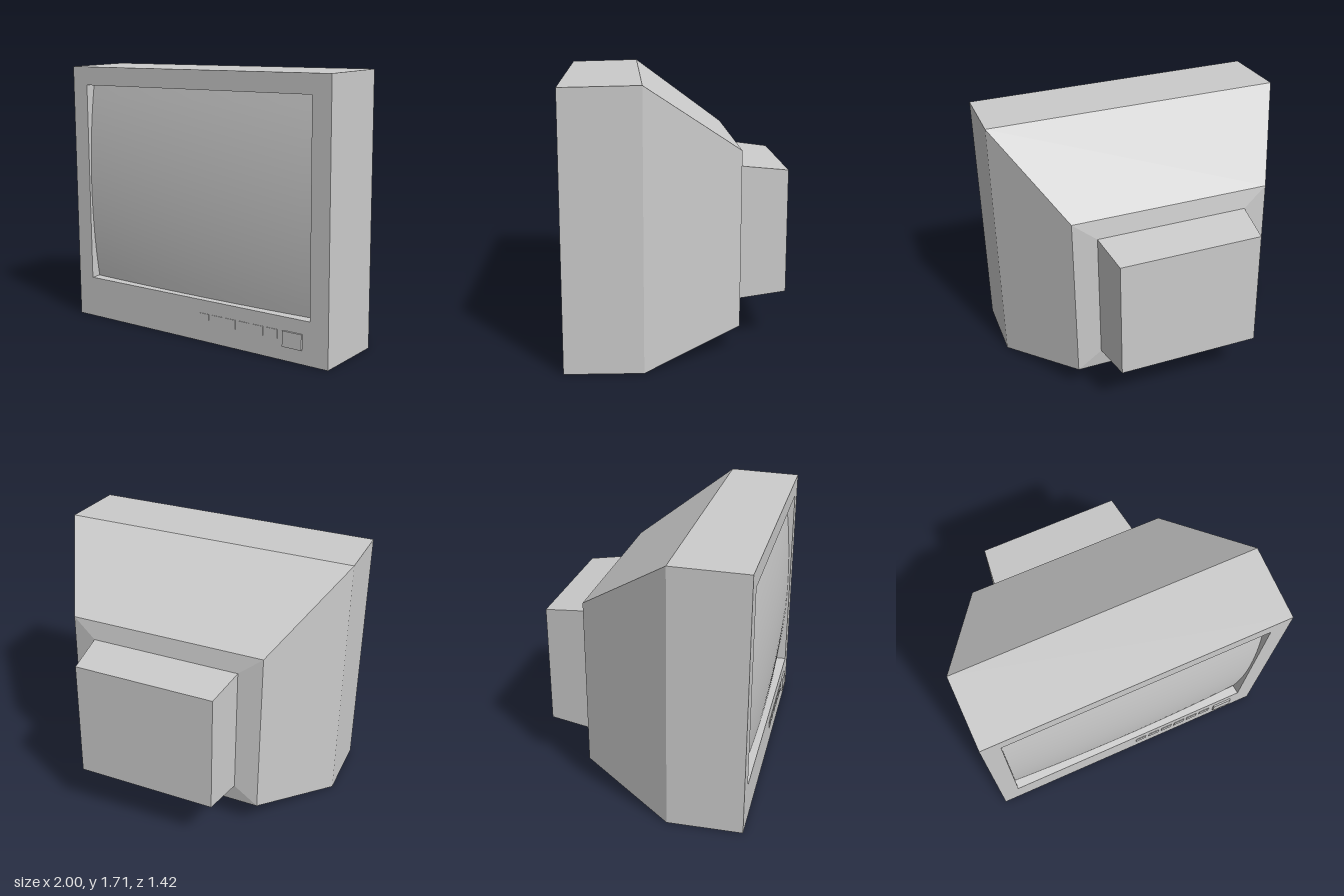
import * as THREE from 'three';

const grey = () => new THREE.MeshStandardMaterial({ color: 0xcccccc });

// Rectangular cross-section, corners anticlockwise seen from the front
const ring = (x0, x1, y0, y1, z) => [[x0, y0, z], [x1, y0, z], [x1, y1, z], [x0, y1, z]];

// Flat-faced skin through a run of cross-sections, optionally closed at the back
function loft(name, rings, closeBack = false) {
  const pos = [];
  const quad = (a, b, c, d) => [a, b, c, a, c, d].forEach((p) => pos.push(...p));
  for (let i = 0; i < rings.length - 1; i++) {
    const A = rings[i], B = rings[i + 1];
    for (let k = 0; k < 4; k++) {
      const n = (k + 1) % 4;
      quad(A[k], B[k], B[n], A[n]);
    }
  }
  if (closeBack) {
    const L = rings[rings.length - 1];
    quad(L[0], L[3], L[2], L[1]);
  }
  const g = new THREE.BufferGeometry();
  g.setAttribute('position', new THREE.Float32BufferAttribute(pos, 3));
  g.computeVertexNormals();
  const mesh = new THREE.Mesh(g, grey());
  mesh.name = name;
  return mesh;
}

export function createModel() {
  const model = new THREE.Group();
  model.name = 'monitor';

  // Shared cross-sections, front to back
  const recess = ring(-0.865, 0.855, 0.275, 1.575, 0.6);
  const opening = ring(-0.87, 0.865, 0.27, 1.58, 0.7);
  const front = ring(-0.99, 0.99, 0, 1.7, 0.7);
  const shoulder = ring(-1, 1, 0, 1.71, 0.22);
  const rear = ring(-0.66, 0.66, 0.16, 1.28, -0.39);
  const neck = ring(-0.505, 0.505, 0.29, 1.155, -0.41);
  const tail = ring(-0.47, 0.47, 0.32, 1.12, -0.71);

  model.add(loft('bezel', [recess, opening, front]));
  model.add(loft('casing', [front, shoulder, rear, neck]));
  model.add(loft('rearHousing', [neck, tail], true));

  // Gently bulging glass, sunk at its edges
  const glass = new THREE.PlaneGeometry(1.73, 1.305, 24, 20);
  const p = glass.attributes.position;
  for (let i = 0; i < p.count; i++) {
    const x = p.getX(i), y = p.getY(i);
    p.setZ(i, -0.027 * x * x - 0.115 * y * y);
  }
  glass.computeVertexNormals();
  const screen = new THREE.Mesh(glass, grey());
  screen.name = 'screen';
  screen.position.set(-0.003, 0.925, 0.706);
  model.add(screen);

  // Row of control buttons and the larger power button
  const addButton = (name, x, y, w, h, out) => {
    const b = new THREE.Mesh(new THREE.BoxGeometry(w, h, 0.02 + out), grey());
    b.name = name;
    b.position.set(x, y, 0.69 + out / 2);
    model.add(b);
  };
  for (let i = 0; i < 6; i++) addButton(`controlButton${i + 1}`, 0.092 + i * 0.102, 0.155, 0.078, 0.058, 0.004);
  addButton('powerButton', 0.748, 0.137, 0.135, 0.098, 0.012);

  return model;
}
